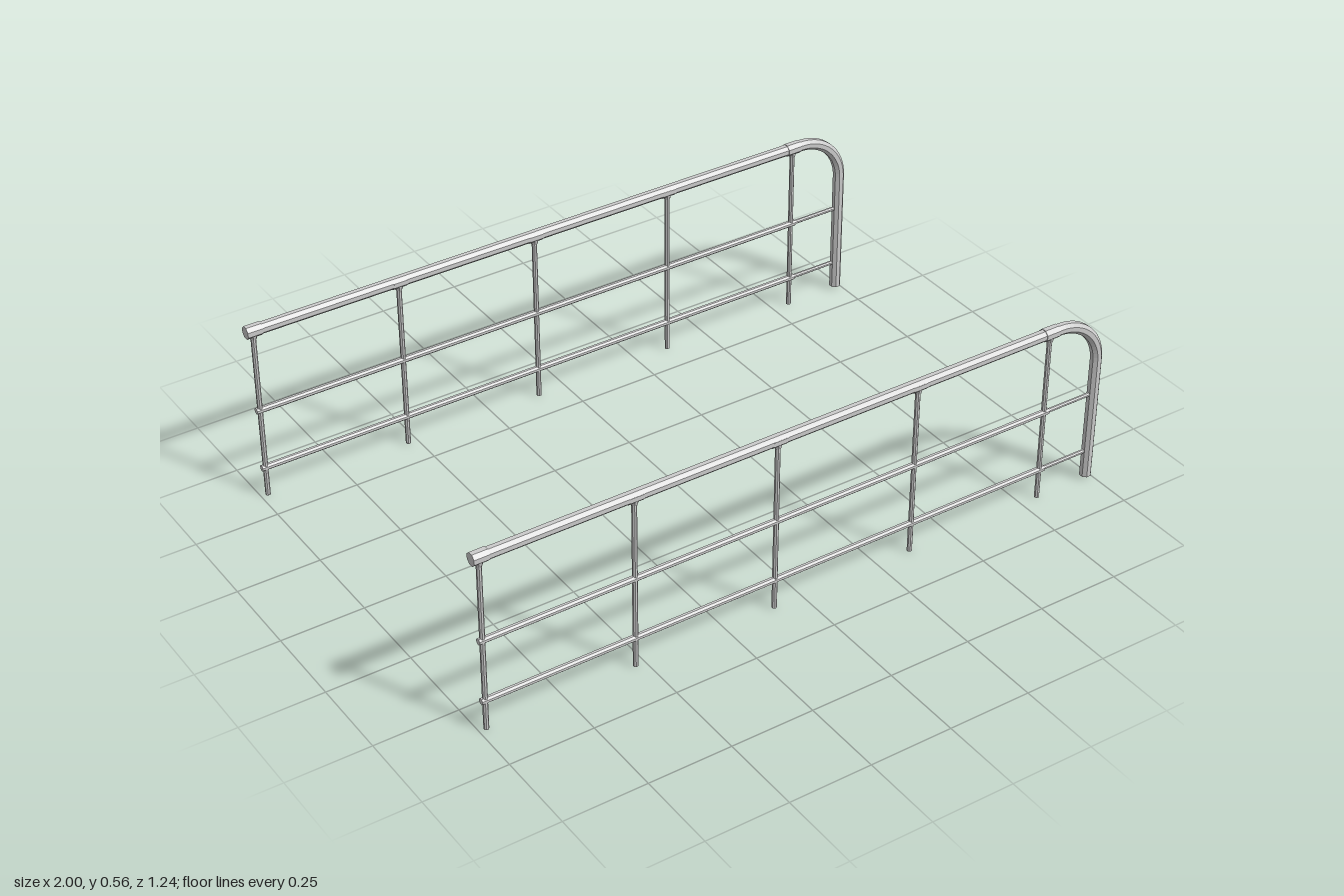
import * as THREE from 'three';

const material = new THREE.MeshStandardMaterial({ color: 0xcccccc, flatShading: true });
const SIDES = 8, HALF_STEP = Math.PI / SIDES;
const TOP = 0.547, LEG_X = 0.983, BEND = 0.148;
const POSTS = [-0.978, -0.528, -0.089, 0.362, 0.808];

function add(group, name, geometry, x = 0, y = 0) {
  const mesh = new THREE.Mesh(geometry, material);
  mesh.name = name;
  mesh.position.set(x, y, 0);
  group.add(mesh);
}

// Eight-sided bar along y, with flat faces towards x and z; radii are measured to the faces
function bar(length, radius, topRadius = radius) {
  const k = 1 / Math.cos(HALF_STEP);
  return new THREE.CylinderGeometry(topRadius * k, radius * k, length, SIDES).rotateY(HALF_STEP);
}

function barX(group, name, x0, x1, y, radius) {
  add(group, name, bar(x1 - x0, radius).rotateZ(Math.PI / 2), (x0 + x1) / 2, y);
}

function barY(group, name, x, y0, y1, radius, topRadius) {
  add(group, name, bar(y1 - y0, radius, topRadius), x, (y0 + y1) / 2);
}

// Quarter turn with the same eight-sided section
function quarterBend(bendRadius, radius) {
  const r = radius / Math.cos(HALF_STEP), section = [];
  for (let i = 0; i <= SIDES; i++) {
    const a = (2 * i + 1) * HALF_STEP;
    section.push(new THREE.Vector2(bendRadius + r * Math.cos(a), r * Math.sin(a)));
  }
  return new THREE.LatheGeometry(section, 16, 0, Math.PI / 2).rotateX(-Math.PI / 2);
}

function createRailing(name, z) {
  const railing = new THREE.Group();
  railing.name = name;
  railing.position.z = z;

  // Handrail, quarter bend and end leg
  const bendX = LEG_X - BEND;
  barX(railing, 'handrail', -0.998, bendX, TOP, 0.016);
  add(railing, 'handrailBend', quarterBend(BEND, 0.016), bendX, TOP - BEND);
  barY(railing, 'endLeg', LEG_X, 0.008, TOP - BEND, 0.016);

  // Sleeves at the two ends of the straight handrail
  barX(railing, 'endSleeve', -1, -0.955, TOP, 0.018);
  barX(railing, 'bendSleeve', 0.785, 0.83, TOP, 0.018);

  // Posts with flared sockets, and saddles along the handrail
  POSTS.forEach((x, i) => {
    barY(railing, 'post', x, 0, TOP, 0.007);
    barY(railing, 'postSocket', x, TOP - 0.026, TOP, 0.009, 0.015);
    if (i > 0 && i < 4) barX(railing, 'saddle', x - 0.022, x + 0.022, TOP - 0.001, 0.0165);
  });

  // Lower rails, each narrowing to a thin link into the end leg
  for (const y of [0.286, 0.093]) {
    barX(railing, 'lowerRail', -0.99, 0.823, y, 0.009);
    barX(railing, 'railLink', 0.82, LEG_X, y, 0.006);
  }
  return railing;
}

export function createModel() {
  const model = new THREE.Group();
  model.add(createRailing('frontRailing', 0.6), createRailing('backRailing', -0.6));
  return model;
}
